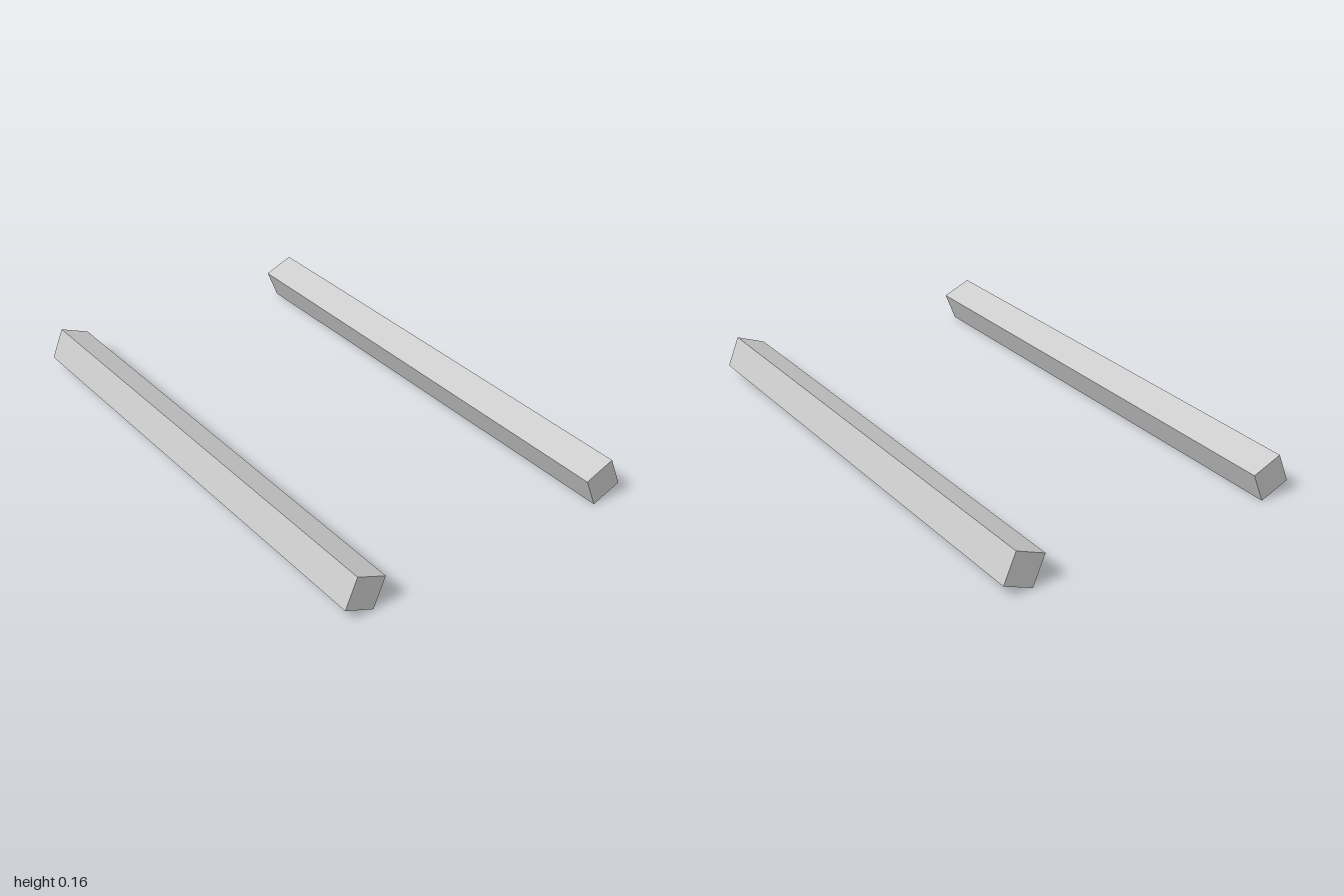
import * as THREE from 'three';

export function createModel() {
  const model = new THREE.Group();
  const material = new THREE.MeshStandardMaterial({ color: 0xcccccc, flatShading: true });

  const side = 0.125;
  const tilt = Math.PI / 8;
  // Half the height of the tilted square section, so each bar rests on its lower edge
  const halfHeight = (side / 2) * (Math.cos(tilt) + Math.sin(tilt));
  const bar = new THREE.BoxGeometry(2, side, side);

  // Two parallel square bars, tilted towards each other
  for (const [name, dir] of [['frontBar', 1], ['backBar', -1]]) {
    const mesh = new THREE.Mesh(bar, material);
    mesh.name = name;
    mesh.position.set(0, halfHeight, dir * 0.533);
    mesh.rotation.x = -dir * tilt;
    model.add(mesh);
  }
  return model;
}
